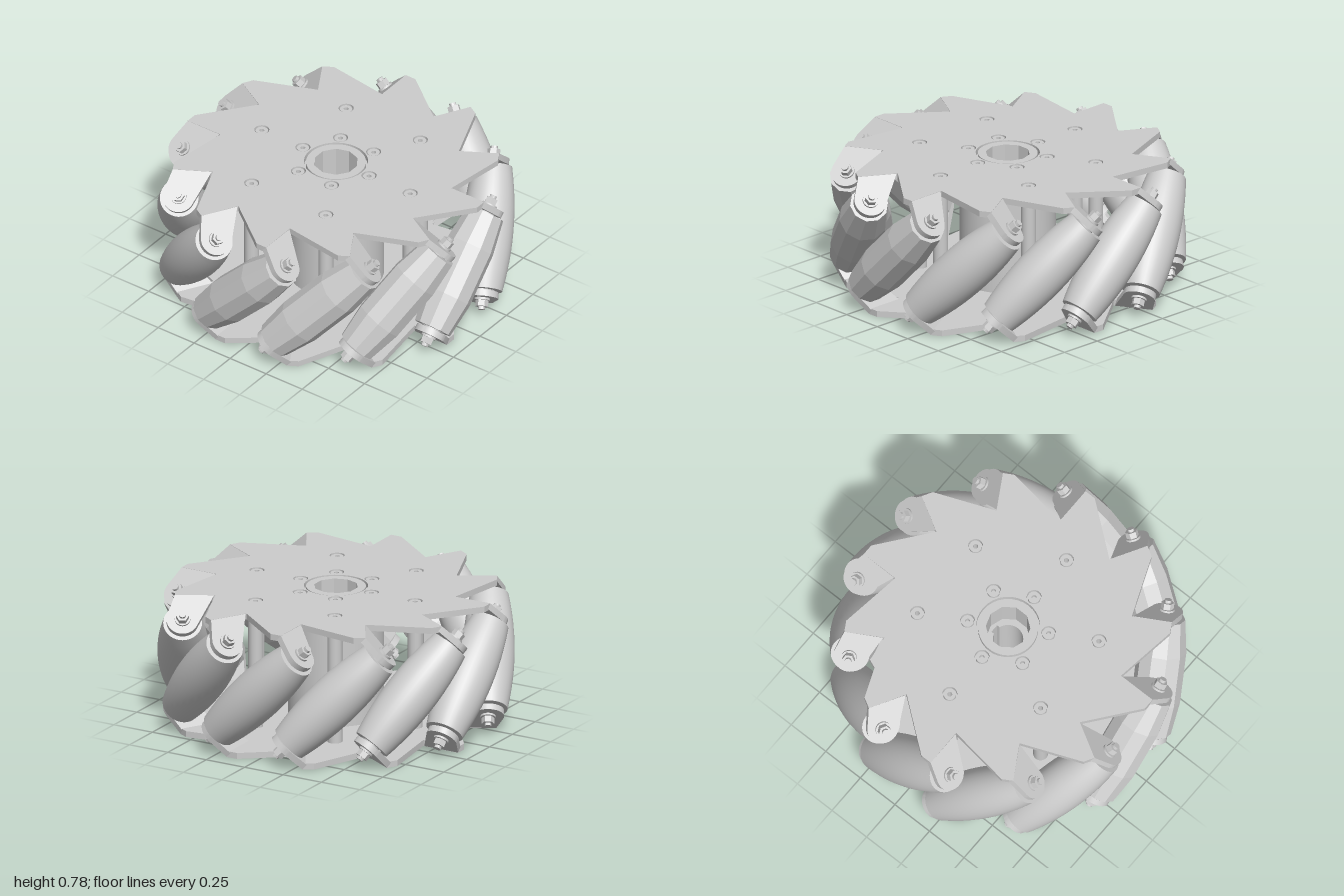
import * as THREE from 'three';
import { toCreasedNormals } from 'three/addons/utils/BufferGeometryUtils.js';

const COUNT = 12, STEP = Math.PI * 2 / COUNT;
const H = 0.78, MID = H / 2, T = 0.035;   // wheel height, plate thickness
const AXIS_R = 0.855;                     // distance of the roller axes from the hub axis
const mat = new THREE.MeshStandardMaterial({ color: 0xcccccc });
const facetMat = new THREE.MeshStandardMaterial({ color: 0xcccccc, flatShading: true });

function add(parent, name, geo, material = mat) {
  const m = new THREE.Mesh(geo, material);
  m.name = name;
  parent.add(m);
  return m;
}
const crease = (g, a = 0.6) => toCreasedNormals(g, a);
const lathe = (pts, n) => new THREE.LatheGeometry(pts.map(p => new THREE.Vector2(...p)), n);

// Extrude a shape drawn in (x, -z) upwards from y0
function slab(shape, y0, depth, curveSegments = 12) {
  const g = new THREE.ExtrudeGeometry(shape, { depth, bevelEnabled: false, curveSegments });
  g.rotateX(-Math.PI / 2).translate(0, y0, 0);
  return crease(g);
}
const circle = (r, x = 0, y = 0) => new THREE.Path().absarc(x, y, r, 0, Math.PI * 2, false);
function polygon(n, r) {
  const p = [];
  for (let i = 0; i < n; i++) {
    const a = i / n * Math.PI * 2;
    p.push(new THREE.Vector2(r * Math.cos(a), r * Math.sin(a)));
  }
  return new THREE.Path(p);
}
// Six places on a circle, the first on the z axis
function six(r, fn) {
  for (let i = 0; i < 6; i++) fn(r * Math.sin(i * Math.PI / 3), r * Math.cos(i * Math.PI / 3));
}

// Flat sawtooth plate with screw holes
function plateGeometry() {
  const tooth = [[-0.185, 0.67], [0.11, 0.9], [0.177, 0.9]];
  const pts = [];
  for (let k = 0; k < COUNT; k++) {
    const c = Math.cos(k * STEP), s = Math.sin(k * STEP);
    for (const [x, z] of tooth) pts.push(new THREE.Vector2(x * c + z * s, -(z * c - x * s)));
  }
  const shape = new THREE.Shape(pts);
  shape.holes.push(circle(0.18));
  for (const r of [0.23, 0.515]) six(r, (x, z) => shape.holes.push(circle(0.042, x, -z)));
  return slab(shape, H - T, T, 16);
}

// Bent ear that carries a roller end, drawn around the bolt
function earGeometry() {
  const s = new THREE.Shape();
  s.moveTo(-0.15, 0.175);
  s.lineTo(-0.15, -0.045);
  s.lineTo(-0.03, -0.085);
  s.absarc(0, 0, 0.09, -1.9, 1.0, false);
  s.closePath();
  return slab(s, 0.364, 0.036);
}

// Barrel profile: the roller follows the wheel's outer circle
function rollerGeometry(stations, sides) {
  const end = stations[stations.length - 1];
  const pts = [[0.0, -end + 0.02], [0.065, -end + 0.02], [0.07, -end]];
  for (const t of stations) pts.push([1 - Math.hypot(AXIS_R, t * Math.SQRT1_2), t]);
  pts.push([0.07, end], [0.065, end - 0.02], [0.0, end - 0.02]);
  return lathe(pts, sides);
}

export function createModel() {
  const wheel = new THREE.Group();
  wheel.name = 'omnidirectionalWheel';

  const plateGeo = plateGeometry(), earGeo = earGeometry();
  const stations = Array.from({ length: 13 }, (_, i) => -0.355 + 0.71 * i / 12);
  const smoothRoller = crease(rollerGeometry(stations, 36));
  const facetRoller = rollerGeometry([-0.355, -0.155, 0.155, 0.355], 10);
  const nutGeo = crease(new THREE.CylinderGeometry(0.036, 0.036, 0.036, 6), 0.3);
  const washerGeo = crease(new THREE.CylinderGeometry(0.044, 0.044, 0.012, 20));
  const bushGeo = crease(new THREE.CylinderGeometry(0.05, 0.05, 0.04, 20));
  const boltGeo = crease(new THREE.CylinderGeometry(0.02, 0.02, 0.93, 12));

  // The lower side plate is the upper one turned half round
  for (const name of ['upperSide', 'lowerSide']) {
    const side = new THREE.Group();
    side.name = name;
    add(side, 'sidePlate', plateGeo);
    for (let k = 0; k < COUNT; k++) {
      const arm = new THREE.Group();
      arm.name = 'ear';
      arm.rotation.y = k * STEP;
      const ear = add(arm, 'bentEar', earGeo);
      ear.position.set(0, MID, AXIS_R);
      ear.rotation.z = -Math.PI / 4;
      side.add(arm);
    }
    // Screw heads around the hub
    const headGeo = crease(lathe([[0.014, 0.745], [0.035, 0.745], [0.035, 0.776], [0.014, 0.776], [0.014, 0.745]], 16));
    six(0.23, (x, z) => add(side, 'hubScrew', headGeo).position.set(x, 0, z));
    if (name === 'lowerSide') {
      side.rotation.z = Math.PI;
      side.position.y = H;
    }
    wheel.add(side);
  }

  // Rollers with their bolts and nuts; four of them are coarsely faceted
  for (let k = 0; k < COUNT; k++) {
    const spoke = new THREE.Group();
    spoke.name = 'rollerUnit';
    spoke.rotation.y = k * STEP;
    const unit = new THREE.Group();
    unit.name = 'rollerAxis';
    unit.position.set(0, MID, AXIS_R);
    unit.rotation.z = -Math.PI / 4;
    const faceted = k === 0 || k >= 9;
    add(unit, 'roller', faceted ? facetRoller : smoothRoller, faceted ? facetMat : mat);
    add(unit, 'bolt', boltGeo);
    for (const e of [-1, 1]) {
      add(unit, 'bush', bushGeo).position.y = e * 0.346;
      add(unit, 'washer', washerGeo).position.y = e * 0.406;
      add(unit, 'nut', nutGeo).position.y = e * 0.43;
    }
    spoke.add(unit);
    wheel.add(spoke);
  }

  // Hollow spacers between the plates
  const spacerGeo = crease(lathe([[0.014, 0.005], [0.035, 0.005], [0.035, T], [0.042, T],
    [0.042, H - T], [0.035, H - T], [0.035, 0.775], [0.014, 0.775], [0.014, 0.005]], 20));
  six(0.515, (x, z) => add(wheel, 'spacer', spacerGeo).position.set(x, 0, z));

  // Hub with raised collars and a polygonal bore
  const hub = new THREE.Shape().absarc(0, 0, 0.27, 0, Math.PI * 2, false);
  hub.holes.push(polygon(10, 0.125));
  add(wheel, 'hub', slab(hub, T, H - 2 * T, 24));
  const collar = new THREE.Shape().absarc(0, 0, 0.168, 0, Math.PI * 2, false);
  collar.holes.push(polygon(10, 0.125));
  for (const y of [0.003, H - T]) add(wheel, 'hubCollar', slab(collar, y, T - 0.003, 24));

  // Keyed sleeve inside the bore
  const sleeve = new THREE.Shape().absarc(0, 0, 0.128, 0, Math.PI * 2, false);
  const key = new THREE.Path();
  key.moveTo(0.1, -0.025);
  key.lineTo(0.1, 0.025);
  key.absarc(0, 0, 0.085, 0.3, Math.PI * 2 - 0.3, false);
  key.closePath();
  sleeve.holes.push(key);
  add(wheel, 'keyedSleeve', slab(sleeve, 0.2, 0.38, 16));

  return wheel;
}
